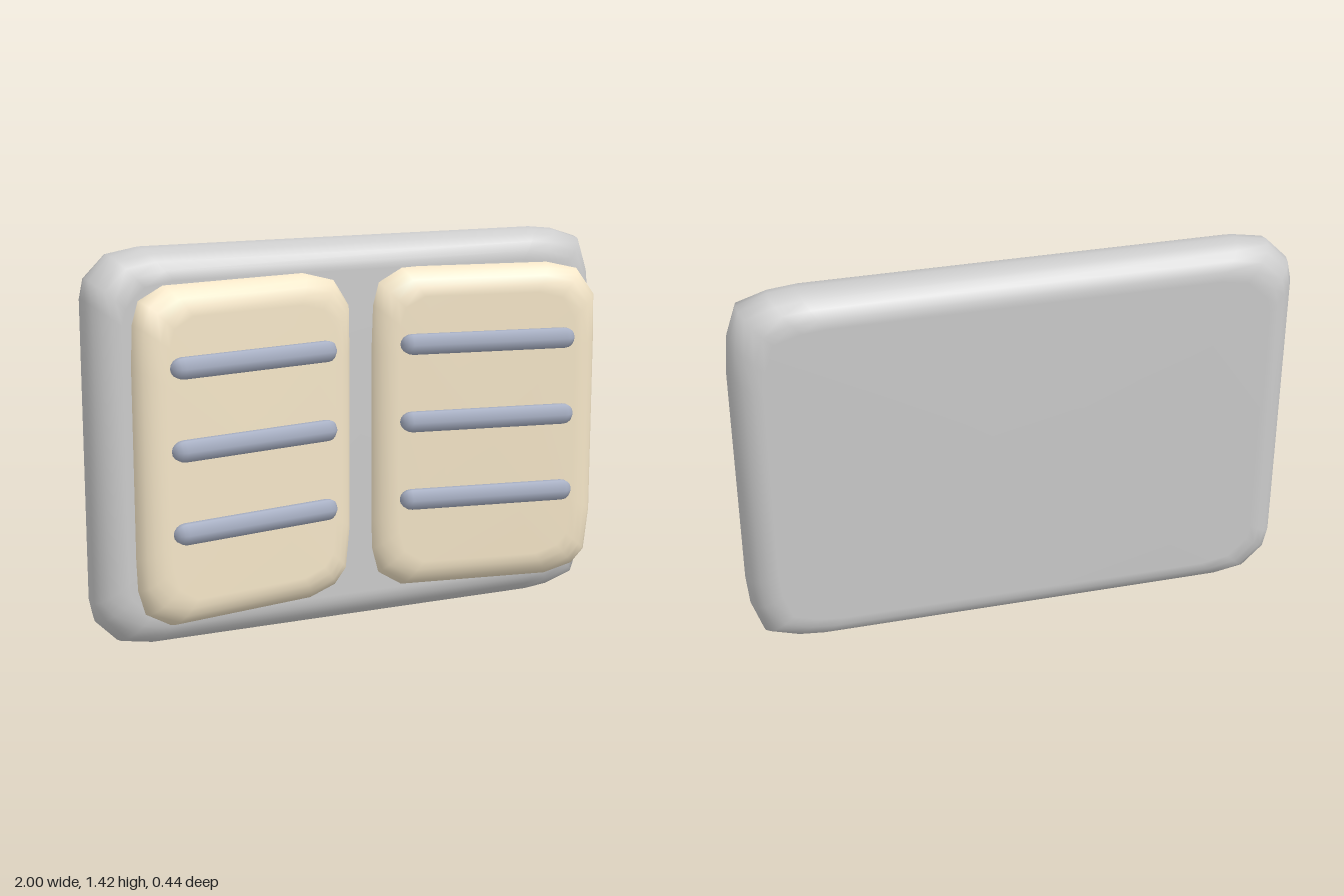
import * as THREE from 'three';

// Smooth slab: an outline lofted through a rounded edge, capped in front and,
// when closed, also behind. Outline runs anticlockwise seen from +z.
function slab(outline, halfW, halfH, inset, depth, zMid, startAngle, steps, closed) {
  const pos = [], idx = [], n = outline.length;
  for (let i = 0; i <= steps; i++) {
    const a = startAngle + (Math.PI / 2 - startAngle) * i / steps;
    const cut = inset * (1 - Math.cos(a));
    for (const [x, y] of outline) {
      pos.push(x * (1 - cut / halfW), y * (1 - cut / halfH), zMid + depth * Math.sin(a));
    }
  }
  for (let i = 0; i < steps; i++) {
    for (let j = 0; j < n; j++) {
      const a = i * n + j, b = i * n + (j + 1) % n;
      idx.push(a, b, b + n, a, b + n, a + n);
    }
  }
  const front = pos.length / 3;
  pos.push(0, 0, zMid + depth);
  for (let j = 0; j < n; j++) idx.push(front, steps * n + j, steps * n + (j + 1) % n);
  if (closed) {
    const back = pos.length / 3;
    pos.push(0, 0, zMid - depth);
    for (let j = 0; j < n; j++) idx.push(back, (j + 1) % n, j);
  }
  const g = new THREE.BufferGeometry();
  g.setAttribute('position', new THREE.Float32BufferAttribute(pos, 3));
  g.setIndex(idx);
  g.computeVertexNormals();
  return g;
}

// Six-sided bar with rounded ends, lying along x
function barGeometry(length, radius) {
  const pts = [];
  for (const end of [-1, 1]) {
    for (let i = 0; i <= 4; i++) {
      const a = (end < 0 ? i - 4 : i) * Math.PI / 8;
      pts.push(new THREE.Vector2(Math.max(0, radius * Math.cos(a)),
        end * (length / 2 - radius) + radius * Math.sin(a)));
    }
  }
  return new THREE.LatheGeometry(pts, 6).rotateZ(Math.PI / 2);
}

export function createModel() {
  const model = new THREE.Group();
  model.name = 'openBook';
  const coverMat = new THREE.MeshStandardMaterial({ color: 0xcccccc });
  const pageMat = new THREE.MeshStandardMaterial({ color: 0xf5e6c8, side: THREE.DoubleSide });
  const lineMat = new THREE.MeshStandardMaterial({ color: 0xa8b0c4 });

  // Cover: thick board with fully rounded edges
  const lower = [[-1, -0.54], [-0.985, -0.61], [-0.905, -0.69], [-0.79, -0.71],
    [0.75, -0.71], [0.845, -0.70], [0.952, -0.665], [0.99, -0.55], [1, -0.43]];
  const upper = lower.map(([x, y]) => [x, -y]).reverse();
  const cover = new THREE.Mesh(
    slab([...lower, ...upper], 1, 0.71, 0.11, 0.1125, -0.1125, -Math.PI / 2, 10, true), coverMat);
  cover.name = 'cover';
  cover.position.y = 0.71;
  model.add(cover);

  // Pages: shells open at the back, tilted forward at their outer edges
  const pageOutline = [[-0.436, -0.34], [-0.432, -0.45], [-0.405, -0.54], [-0.31, -0.595],
    [0.26, -0.595], [0.37, -0.563], [0.418, -0.51], [0.436, -0.35],
    [0.436, 0.32], [0.433, 0.477], [0.368, 0.568], [0.25, 0.595],
    [-0.31, 0.595], [-0.405, 0.55], [-0.43, 0.47], [-0.436, 0.32]];
  const pageGeo = slab(pageOutline, 0.436, 0.595, 0.1, 0.08, 0, 0, 5, false);
  const lineGeo = barGeometry(0.665, 0.042);
  for (const [side, label] of [[1, 'left'], [-1, 'right']]) {
    const group = new THREE.Group();
    group.name = label + 'PageGroup';
    group.position.set(side * 0.47, 0.715, 0.042);
    group.rotation.y = -side * THREE.MathUtils.degToRad(9.9);
    const page = new THREE.Mesh(pageGeo, pageMat);
    page.name = label + 'Page';
    group.add(page);

    // Raised lines of writing
    [1.04, 0.755, 0.465].forEach((y, i) => {
      const line = new THREE.Mesh(lineGeo, lineMat);
      line.name = label + 'PageLine' + (i + 1);
      line.position.set(0, y - 0.715, 0.082);
      group.add(line);
    });
    model.add(group);
  }
  return model;
}
